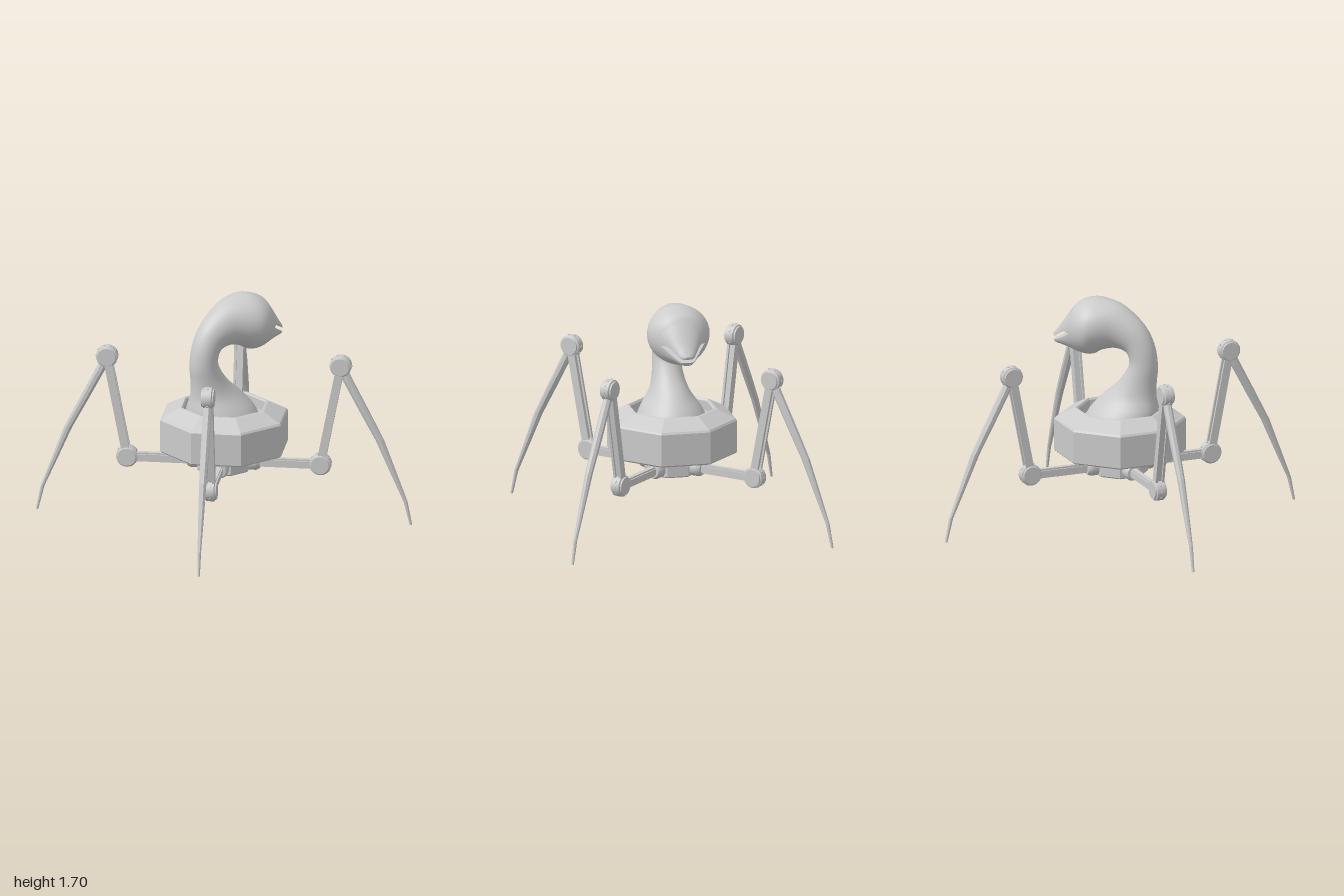
import * as THREE from 'three';
import { toCreasedNormals } from 'three/addons/utils/BufferGeometryUtils.js';

const smooth = new THREE.MeshStandardMaterial({ color: 0xcccccc, side: THREE.DoubleSide });
const flat = new THREE.MeshStandardMaterial({ color: 0xcccccc, flatShading: true, side: THREE.DoubleSide });

function add(parent, name, geometry, material = flat) {
  const mesh = new THREE.Mesh(geometry, material);
  mesh.name = name;
  parent.add(mesh);
  return mesh;
}

// Joins neighbouring rows of points into triangles
function skin(out, rows, closed) {
  for (let i = 0; i < rows.length - 1; i++) {
    const a = rows[i], b = rows[i + 1], n = a.length;
    for (let j = 0; j < (closed ? n : n - 1); j++) {
      const k = (j + 1) % n;
      out.push(a[j], b[j], a[k], a[k], b[j], b[k]);
    }
  }
}

function cap(out, ring) {
  for (let j = 1; j < ring.length - 1; j++) out.push(ring[0], ring[j + 1], ring[j]);
}

const fromPoints = (pts) => new THREE.BufferGeometry().setFromPoints(pts);

const lathe = (pts, sides) =>
  new THREE.LatheGeometry(pts.map(([r, y]) => new THREE.Vector2(r, y)), sides);

// Neck, head and split beak: [topX, topY, bottomX, bottomY, halfWidth, halfMouthGap]
const SECTIONS = [
  [-0.30, 0.78, 0.27, 0.78, 0.27, 0],
  [-0.30, 0.88, 0.225, 0.87, 0.22, 0],
  [-0.285, 0.98, 0.125, 0.98, 0.15, 0],
  [-0.285, 1.08, 0.01, 1.085, 0.118, 0],
  [-0.295, 1.23, -0.07, 1.20, 0.105, 0],
  [-0.265, 1.39, -0.08, 1.27, 0.105, 0],
  [-0.18, 1.535, -0.05, 1.32, 0.115, 0],
  [-0.02, 1.66, 0.03, 1.338, 0.15, 0],
  [0.13, 1.70, 0.13, 1.315, 0.215, 0],
  [0.23, 1.70, 0.19, 1.28, 0.235, 0],
  [0.32, 1.665, 0.25, 1.273, 0.21, 0],
  [0.365, 1.615, 0.32, 1.285, 0.17, 0],
  [0.405, 1.56, 0.39, 1.305, 0.125, 0.02],
  [0.46, 1.48, 0.45, 1.318, 0.085, 0.018],
  [0.51, 1.415, 0.495, 1.325, 0.05, 0.014],
  [0.525, 1.398, 0.507, 1.335, 0.022, 0.012],
];
const MOUTH = 11;

function birdGeometry() {
  const rail = (f) => new THREE.CatmullRomCurve3(
    SECTIONS.map((s) => new THREE.Vector3(...f(s))), false, 'catmullrom', 0.5);
  const top = rail((s) => [s[0], s[1], 0]);
  const bottom = rail((s) => [s[2], s[3], 0]);
  const size = rail((s) => [s[4], s[5], 0]);
  const per = 5, arc = 20, count = (SECTIONS.length - 1) * per, out = [];
  for (const half of [0, 1]) {
    const rows = [];
    for (let i = 0; i <= count; i++) {
      const t = i / count, p = top.getPoint(t), q = bottom.getPoint(t), s = size.getPoint(t);
      const gap = i <= MOUTH * per ? 0 : Math.max(0, s.y);
      const c = p.clone().add(q).multiplyScalar(0.5);
      c.y += half ? -gap : gap;
      const reach = (half ? q : p).clone().sub(c);
      rows.push(Array.from({ length: arc + 1 }, (_, j) => {
        const a = (j / arc) * Math.PI, side = half ? -1 : 1;
        return c.clone().addScaledVector(reach, Math.sin(a))
          .add(new THREE.Vector3(0, 0, side * s.x * Math.cos(a)));
      }));
    }
    skin(out, rows, false);
    // Inside of the mouth and beak tip
    skin(out, rows.slice(MOUTH * per).map((r) => [r[arc], r[0]]), false);
    cap(out, rows[count]);
  }
  return toCreasedNormals(fromPoints(out), 0.8);
}

// Curved, tapering shin: [radius, y, half depth, half thickness]
function shinGeometry() {
  const stations = [
    [0.87, 1.215, 0.035, 0.028], [0.925, 1.10, 0.036, 0.03], [1.045, 0.87, 0.034, 0.03],
    [1.16, 0.65, 0.03, 0.026], [1.262, 0.40, 0.022, 0.02], [1.352, 0.18, 0.014, 0.013],
    [1.392, 0, 0.009, 0.009],
  ];
  const rows = stations.map(([x, y, d, w]) => Array.from({ length: 8 }, (_, j) => {
    const a = ((j + 0.5) / 8) * Math.PI * 2;
    return new THREE.Vector3(x + d * 1.08 * Math.cos(a), y, -w * 1.08 * Math.sin(a));
  }));
  const out = [];
  skin(out, rows, true);
  cap(out, rows[rows.length - 1]);
  return fromPoints(out);
}

// Round hinge with chamfered rims and small bolts
function hinge(name, x, y) {
  const g = new THREE.Group();
  g.name = name;
  const disc = lathe([[0, -0.046], [0.066, -0.046], [0.068, -0.036], [0.08, -0.03],
    [0.08, 0.03], [0.068, 0.036], [0.066, 0.046], [0, 0.046]], 20);
  add(g, 'hingeDisc', toCreasedNormals(disc, 0.5), smooth).rotation.x = Math.PI / 2;
  for (let i = 0; i < 10; i++) {
    const a = (i / 10) * Math.PI * 2;
    const bolt = add(g, 'hingeBolt', new THREE.CylinderGeometry(0.008, 0.008, 0.008, 6));
    bolt.position.set(0.081 * Math.cos(a), 0.081 * Math.sin(a), 0);
    bolt.rotation.z = a - Math.PI / 2;
  }
  g.position.set(x, y, 0);
  return g;
}

// One leg, reaching out along +x
function makeLeg() {
  const leg = new THREE.Group();
  leg.name = 'leg';
  const socket = lathe([[0, -0.05], [0.05, -0.05], [0.064, -0.035], [0.064, 0.02],
    [0.05, 0.045], [0, 0.045]], 16);
  const s = add(leg, 'hipSocket', toCreasedNormals(socket, 0.5), smooth);
  s.rotation.z = -Math.PI / 2;
  s.position.set(0.225, 0.443, 0);
  add(leg, 'hipRod', new THREE.BoxGeometry(0.46, 0.07, 0.036)).position.set(0.48, 0.443, 0);
  add(leg, 'hipRodCore', new THREE.BoxGeometry(0.46, 0.045, 0.055)).position.set(0.48, 0.443, 0);
  leg.add(hinge('elbow', 0.72, 0.445), hinge('knee', 0.87, 1.215));

  // Thigh: two side bars around a recessed web
  const thigh = new THREE.Group();
  thigh.name = 'thigh';
  const length = Math.hypot(0.15, 0.77);
  for (const side of [-1, 1]) {
    add(thigh, 'thighBar', new THREE.BoxGeometry(0.06, length, 0.018)).position.z = side * 0.025;
  }
  add(thigh, 'thighWeb', new THREE.BoxGeometry(0.03, length, 0.036));
  thigh.position.set(0.795, 0.83, 0);
  thigh.rotation.z = -Math.atan2(0.15, 0.77);
  leg.add(thigh);

  add(leg, 'shin', shinGeometry());
  return leg;
}

export function createModel() {
  const model = new THREE.Group();
  model.name = 'walkingPlanterBird';

  // Eight-sided pot with a sloped rim and sunken floor
  const k = 1 / Math.cos(Math.PI / 8);
  const pot = lathe([[0, 0.54], [0.438, 0.54], [0.45, 0.552], [0.45, 0.79], [0.44, 0.805],
    [0.315, 0.875], [0.30, 0.878], [0.29, 0.865], [0.29, 0.79], [0, 0.79]]
    .map(([r, y]) => [r * k, y]), 8);
  add(model, 'pot', pot).rotation.y = Math.PI / 8;

  // Hub and post below the pot
  const hub = lathe([[0, 0.38], [0.18, 0.38], [0.19, 0.39], [0.19, 0.485], [0.165, 0.503],
    [0, 0.503]].map(([r, y]) => [r * k, y]), 8);
  add(model, 'hub', hub).rotation.y = Math.PI / 8;
  const post = new THREE.CylinderGeometry(0.065, 0.065, 0.06, 20);
  add(model, 'post', post, smooth).position.y = 0.522;

  add(model, 'birdNeckAndHead', birdGeometry(), smooth);

  for (let i = 0; i < 4; i++) {
    const leg = makeLeg();
    leg.rotation.y = Math.PI / 4 + i * Math.PI / 2;
    model.add(leg);
  }
  return model;
}
